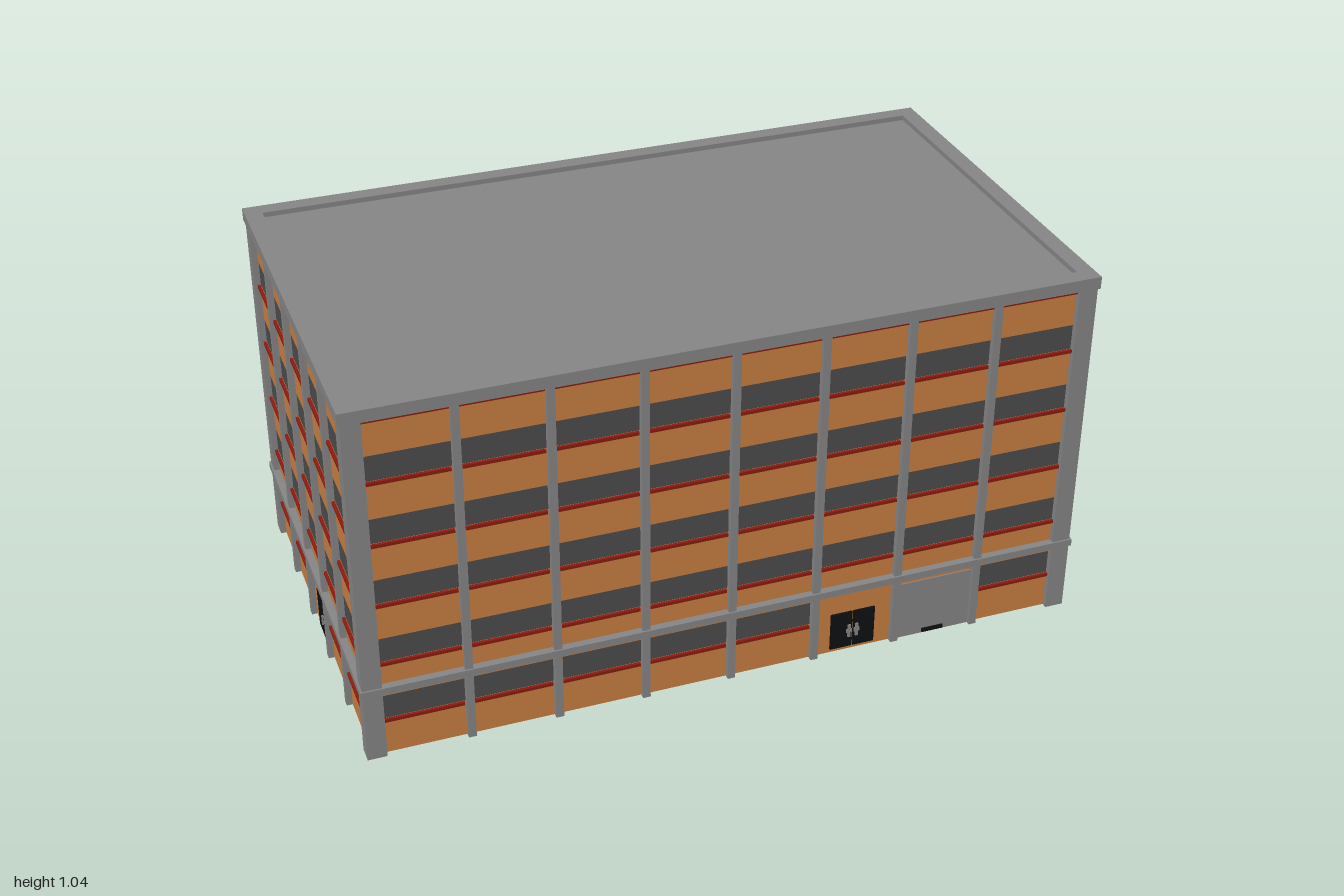
import * as THREE from 'three';

const mat = (name, color) => {
  const m = new THREE.MeshStandardMaterial({ color });
  m.name = name;
  return m;
};

export function createModel() {
  const concrete = mat('concrete grey', 0x868686);
  const orange = mat('orange cladding', 0xca8042);
  const glass = mat('dark glass', 0x4d4d4d);
  const red = mat('red sill', 0x8c1c10);
  const black = mat('black door', 0x0e1011);
  const model = new THREE.Group();
  model.name = 'officeBlock';

  // Box given by its limits on each axis
  const box = (parent, name, m, x0, x1, y0, y1, z0, z1) => {
    const mesh = new THREE.Mesh(new THREE.BoxGeometry(x1 - x0, y1 - y0, z1 - z0), m);
    mesh.position.set((x0 + x1) / 2, (y0 + y1) / 2, (z0 + z1) / 2);
    mesh.name = name;
    parent.add(mesh);
    return mesh;
  };

  // Rectangular frame lying flat, between two heights
  const ring = (name, hx, hz, ix, iz, y0, y1) => {
    const rect = (P, a, b) => {
      const p = new P();
      p.moveTo(-a, -b);
      p.lineTo(a, -b);
      p.lineTo(a, b);
      p.lineTo(-a, b);
      p.closePath();
      return p;
    };
    const shape = rect(THREE.Shape, hx, hz);
    shape.holes.push(rect(THREE.Path, ix, iz));
    const geo = new THREE.ExtrudeGeometry(shape, { depth: y1 - y0, bevelEnabled: false });
    geo.rotateX(-Math.PI / 2);
    const mesh = new THREE.Mesh(geo, concrete);
    mesh.position.y = y0;
    mesh.name = name;
    model.add(mesh);
  };

  const HX = 0.995, HZ = 0.567;       // outer faces of the pillars
  const windowBase = [0.11, 0.288, 0.466, 0.645, 0.824];
  const windowHeight = 0.071, top = 1.003;

  // One wall in its own frame: x along the wall, z outward
  const facade = (name, angle, dist, half, pillars, closed, addDoors) => {
    const g = new THREE.Group();
    g.name = name;
    g.rotation.y = angle;
    model.add(g);
    const wall = dist - 0.016, back = wall - 0.01;
    const edges = [-half, ...pillars, half];
    for (let i = 0; i < edges.length - 1; i++) {
      const a = edges[i], b = edges[i + 1];
      const isClosed = closed.includes(i);
      let y = 0;
      windowBase.forEach((w, floor) => {
        if (floor === 0 && isClosed) return;
        box(g, 'claddingPanel', orange, a, b, y, w, back, wall);
        box(g, 'windowBand', glass, a, b, w, w + windowHeight, back, wall - 0.001);
        box(g, 'windowSill', red, a + 0.014, b - 0.014, w - 0.009, w, wall, wall + 0.008);
        y = w + windowHeight;
      });
      box(g, 'topPanel', orange, a, b, y, top, back, wall);
      box(g, 'topTrim', red, a + 0.012, b - 0.012, 0.99, top, wall, wall + 0.008);
    }
    for (const x of pillars) box(g, 'pillar', concrete, x - 0.0105, x + 0.0105, 0, top, wall - 0.004, dist);
    addDoors(g, wall, back);
  };

  // Long walls: double door and a plain grey loading bay
  const longDoors = (g, wall, back) => {
    for (const s of [-1, 1]) {
      const c = 0.355 + s * 0.033;
      box(g, 'entranceDoor', black, c - 0.031, c + 0.031, 0.012, 0.125, back - 0.004, wall + 0.006);
      const h = 0.355 + s * 0.011;
      box(g, 'doorHandle', concrete, h - 0.004, h + 0.004, 0.045, 0.085, wall + 0.006, wall + 0.01);
      box(g, 'handleBar', concrete, h - 0.008, h + 0.008, 0.059, 0.071, wall + 0.006, wall + 0.009);
    }
    box(g, 'loadingDoor', concrete, 0.485, 0.71, 0, 0.178, back - 0.003, wall + 0.004);
    box(g, 'loadingDoorGrip', black, 0.565, 0.628, 0.004, 0.015, back - 0.005, wall + 0.009);
  };

  // Short walls: a single door in the middle
  const shortDoors = (g, wall, back) => {
    box(g, 'doorFrame', concrete, -0.039, 0.039, 0.006, 0.131, back - 0.002, wall + 0.003);
    box(g, 'sideDoor', black, -0.036, 0.036, 0.009, 0.128, back - 0.004, wall + 0.006);
    box(g, 'doorHandle', concrete, 0.026, 0.031, 0.05, 0.08, wall + 0.006, wall + 0.011);
  };

  const longPillars = [-0.717, -0.48, -0.24, 0, 0.24, 0.477, 0.715];
  const shortPillars = [-0.321, -0.106, 0.106, 0.321];
  facade('frontWall', 0, HZ, 0.965, longPillars, [5, 6], longDoors);
  facade('backWall', Math.PI, HZ, 0.965, longPillars, [5, 6], longDoors);
  facade('rightWall', Math.PI / 2, HX, 0.54, shortPillars, [2], shortDoors);
  facade('leftWall', -Math.PI / 2, HX, 0.54, shortPillars, [2], shortDoors);

  // Corner pillars
  for (const sx of [-1, 1]) for (const sz of [-1, 1]) {
    const m = box(model, 'cornerPillar', concrete, -0.026, 0.026, 0, top, -0.0235, 0.0235);
    m.position.x = sx * (HX - 0.026);
    m.position.z = sz * (HZ - 0.0235);
  }

  // Belt course above the ground floor, roof slab and parapet
  ring('beltCourse', 1, 0.572, 0.965, 0.538, 0.2, 0.22);
  ring('parapet', 1, 0.572, 0.953, 0.526, 1.002, 1.036);
  box(model, 'roofSlab', concrete, -0.955, 0.955, 1.004, 1.022, -0.528, 0.528);
  return model;
}
